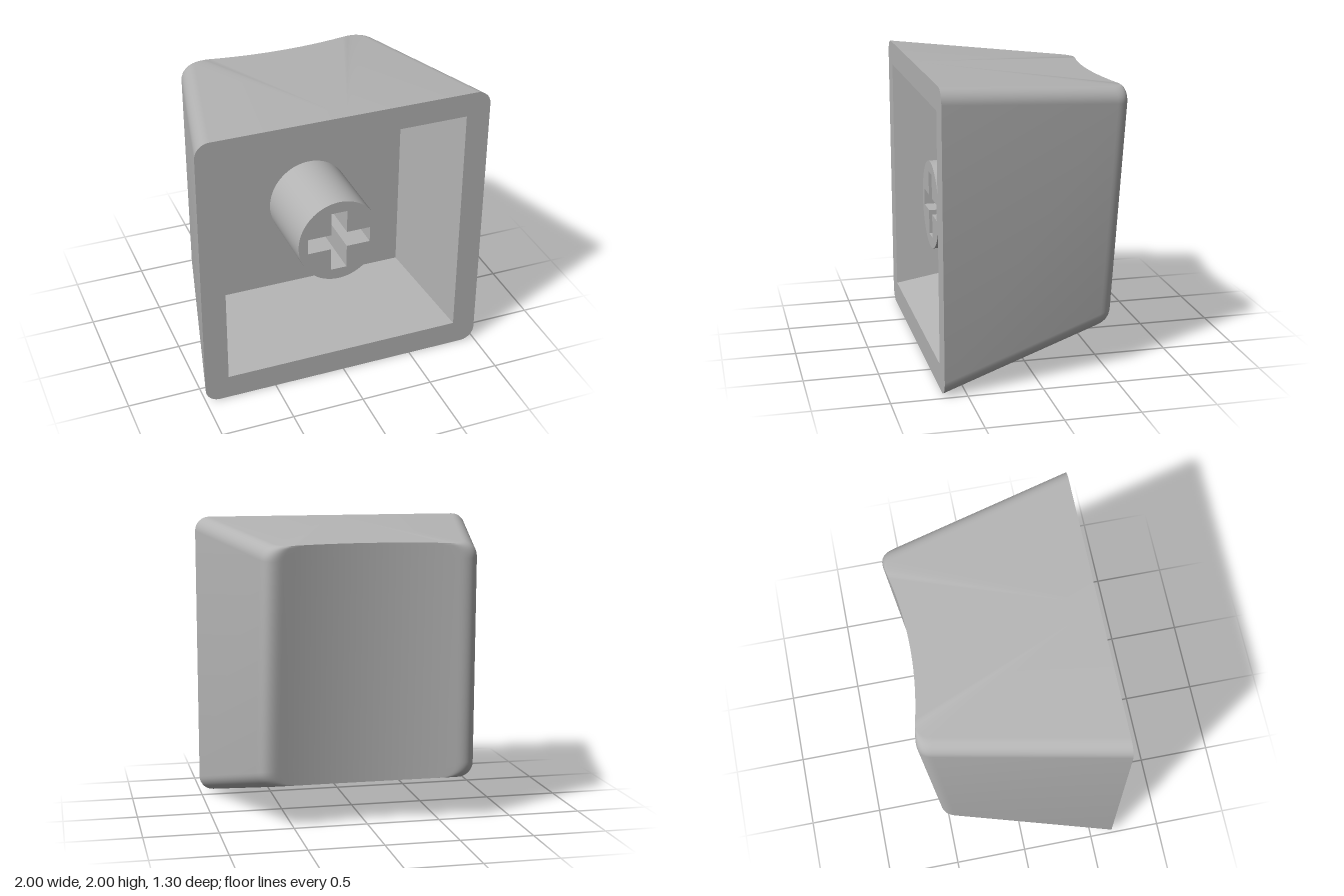
import * as THREE from 'three';
import { toCreasedNormals } from 'three/addons/utils/BufferGeometryUtils.js';

const FRONT = 0.65, FLOOR = -0.02, R = 0.1;
const SIDE = 0.23, TOP = 0.085, BOTTOM = 0.254; // inward taper per unit of depth

const plastic = new THREE.MeshStandardMaterial({ color: 0xb4b4b4 });
plastic.name = 'grey plastic';

function named(name, geometry) {
  const mesh = new THREE.Mesh(geometry, plastic);
  mesh.name = name;
  return mesh;
}

function fromTriangles(points) {
  const g = new THREE.BufferGeometry();
  g.setAttribute('position', new THREE.Float32BufferAttribute(points.flatMap(p => [p.x, p.y, p.z]), 3));
  return toCreasedNormals(g, 0.6);
}

// Dished back: a shallow hollow across x, leaning with height
const backZ = (x, y) => -0.45 - 0.0755 * (y - 0.3) - 0.222 * x * x;

// Right half of the horizontal outline (side, rounded edge, dish) at one height
function halfOutline(inset, y) {
  const sideX = z => 1 - inset - SIDE * (FRONT - z);
  let cz = -0.65;
  for (let k = 0; k < 5; k++) cz = backZ(sideX(cz), y);
  const cx = sideX(cz), endX = cx - 0.115;
  const edge = new THREE.QuadraticBezierCurve(
    new THREE.Vector2(sideX(cz + 0.11), cz + 0.11),
    new THREE.Vector2(cx, cz),
    new THREE.Vector2(endX, backZ(endX, y)));
  const pts = [new THREE.Vector2(sideX(FRONT), FRONT), ...edge.getPoints(10)];
  for (let k = 1; k <= 10; k++) {
    const x = endX * (1 - k / 10);
    pts.push(new THREE.Vector2(x, backZ(x, y)));
  }
  return pts;
}

// One row of the shell; isTop picks the sloping plane it follows, a is the corner angle
function shellRow(isTop, a) {
  const inset = R * (1 - Math.cos(a)), drop = R * (1 - Math.sin(a));
  const height = z => isTop ? 2 - TOP * (FRONT - z) - drop : BOTTOM * (FRONT - z) + drop;
  const count = halfOutline(0, 1).length;
  const half = [];
  for (let i = 0; i < count; i++) {
    let y = isTop ? 1.9 : 0.3, p;
    for (let k = 0; k < 5; k++) {
      p = halfOutline(inset, y)[i];
      y = height(p.y);
    }
    half.push(new THREE.Vector3(p.x, y, p.y));
  }
  const mirrored = half.slice(0, -1).reverse().map(p => new THREE.Vector3(-p.x, p.y, p.z));
  return [...half, ...mirrored];
}

function shellGeometry() {
  const steps = 8, rows = [], tris = [];
  for (let k = 0; k <= steps; k++) rows.push(shellRow(false, (1 - k / steps) * Math.PI / 2));
  for (let k = 0; k <= steps; k++) rows.push(shellRow(true, (k / steps) * Math.PI / 2));
  const low = rows[0], high = rows[rows.length - 1];
  const lowMid = new THREE.Vector3(0, 0, FRONT), highMid = new THREE.Vector3(0, 2, FRONT);
  for (let i = 0; i < low.length - 1; i++) {
    for (let j = 0; j < rows.length - 1; j++) {
      const a = rows[j][i], b = rows[j][i + 1], c = rows[j + 1][i + 1], d = rows[j + 1][i];
      tris.push(a, b, c, a, c, d);
    }
    // flat top and bottom
    tris.push(highMid, high[i], high[i + 1], lowMid, low[i + 1], low[i]);
  }
  return fromTriangles(tris);
}

// Corners of the cavity at a given depth, counter-clockwise from the front
function cavityLoop(z) {
  const d = FRONT - z, x = 0.835 - SIDE * d, y0 = 0.17 + BOTTOM * d, y1 = 1.837 - TOP * d;
  return [[-x, y0], [x, y0], [x, y1], [-x, y1]].map(([px, py]) => new THREE.Vector3(px, py, z));
}

function rimGeometry() {
  const s = new THREE.Shape();
  s.absarc(1 - R, R, R, -Math.PI / 2, 0);
  s.absarc(1 - R, 2 - R, R, 0, Math.PI / 2);
  s.absarc(R - 1, 2 - R, R, Math.PI / 2, Math.PI);
  s.absarc(R - 1, R, R, Math.PI, Math.PI * 1.5);
  s.holes.push(new THREE.Path(cavityLoop(FRONT).map(p => new THREE.Vector2(p.x, p.y))));
  return new THREE.ShapeGeometry(s, 8).translate(0, 0, FRONT);
}

function cavityGeometry() {
  const f = cavityLoop(FRONT), b = cavityLoop(FLOOR), tris = [];
  for (let i = 0; i < 4; i++) {
    const n = (i + 1) % 4;
    tris.push(f[i], f[n], b[n], f[i], b[n], b[i]);
  }
  tris.push(b[0], b[1], b[2], b[0], b[2], b[3]);
  return fromTriangles(tris);
}

// Round post with a cross-shaped socket
function stemGeometry() {
  const s = new THREE.Shape();
  s.absellipse(0, 0, 0.288, 0.303, 0, Math.PI * 2);
  const l = 0.222, w = 0.056;
  const cross = [[l, -w], [l, w], [w, w], [w, l], [-w, l], [-w, w],
    [-l, w], [-l, -w], [-w, -w], [-w, -l], [w, -l], [w, -w]];
  s.holes.push(new THREE.Path(cross.map(([x, y]) => new THREE.Vector2(x, y))));
  const g = new THREE.ExtrudeGeometry(s, { depth: 0.54 - FLOOR, bevelEnabled: false, curveSegments: 32 });
  return toCreasedNormals(g, 0.6).translate(0, 1.004, FLOOR);
}

export function createModel() {
  const model = new THREE.Group();
  model.name = 'keycap';
  model.add(
    named('outerShell', shellGeometry()),
    named('frontRim', rimGeometry()),
    named('innerCavity', cavityGeometry()),
    named('crossStem', stemGeometry()));
  return model;
}
